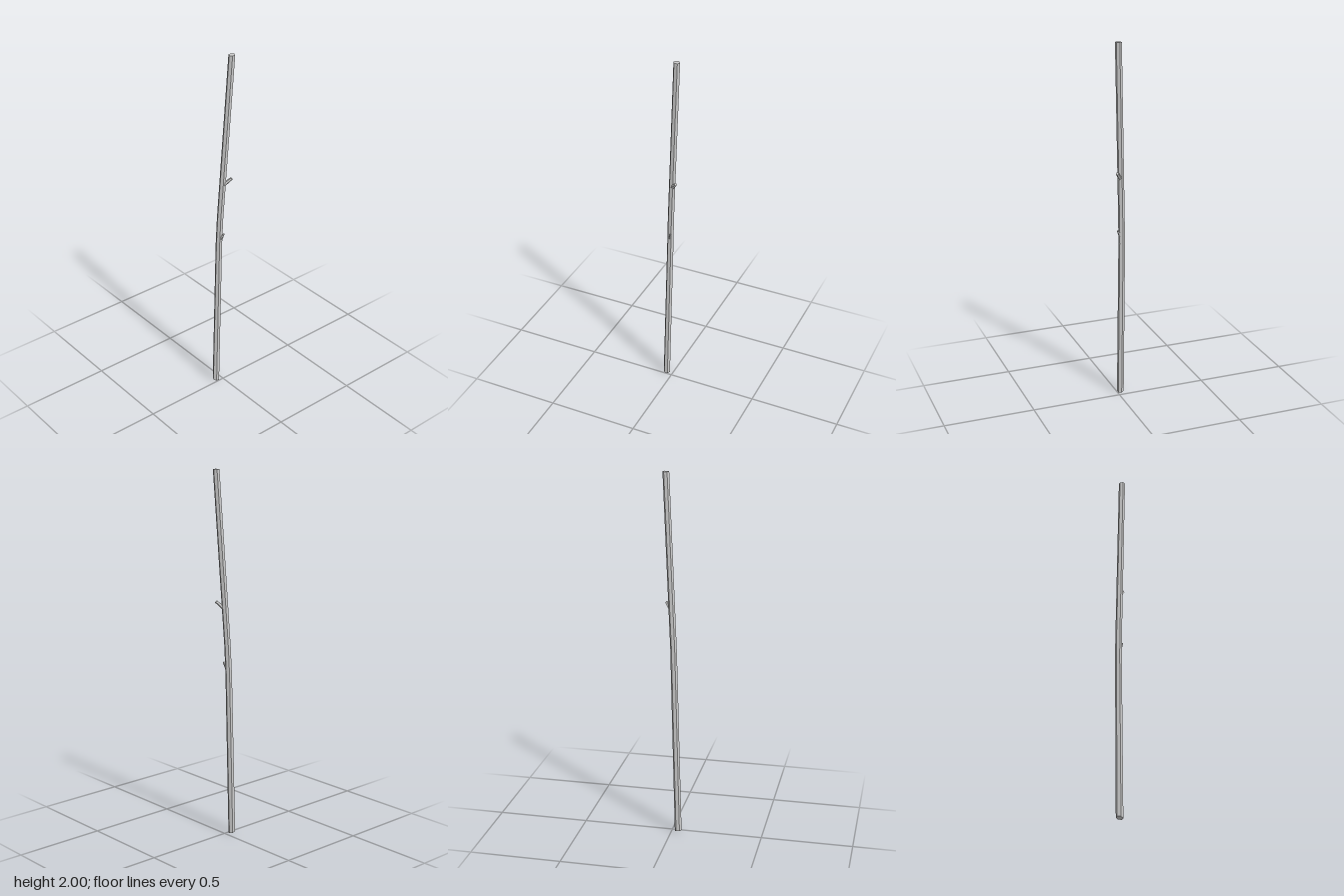
import * as THREE from 'three';

const V = (x, y, z) => new THREE.Vector3(x, y, z);
const material = new THREE.MeshStandardMaterial({ color: 0xcccccc, flatShading: true });

// Lofts a closed tube with flat caps through rings of { c: centre, r: radius, slant }
function loft(rings, sides, phase) {
  const pos = [], index = [];
  for (const { c, r, slant = 0 } of rings) {
    for (let i = 0; i < sides; i++) {
      const a = phase + (i / sides) * Math.PI * 2;
      pos.push(c.x + r * Math.cos(a), c.y + slant * (1 - Math.cos(a + Math.PI / 4)) / 2, c.z + r * Math.sin(a));
    }
  }
  const last = (rings.length - 1) * sides;
  for (let k = 0; k < last; k += sides) {
    for (let i = 0; i < sides; i++) {
      const j = (i + 1) % sides;
      index.push(k + i, k + sides + i, k + j, k + j, k + sides + i, k + sides + j);
    }
  }
  for (let i = 1; i < sides - 1; i++) {
    index.push(0, i, i + 1, last, last + i + 1, last + i);
  }
  const g = new THREE.BufferGeometry();
  g.setAttribute('position', new THREE.Float32BufferAttribute(pos, 3));
  g.setIndex(index);
  const flat = g.toNonIndexed();
  flat.computeVertexNormals();
  return flat;
}

// Tapered stub from one point to another
function twig(name, from, to, r0, r1) {
  const dir = to.clone().sub(from);
  const mesh = new THREE.Mesh(new THREE.CylinderGeometry(r1, r0, dir.length(), 5), material);
  mesh.position.copy(from).add(to).multiplyScalar(0.5);
  mesh.quaternion.setFromUnitVectors(V(0, 1, 0), dir.normalize());
  mesh.name = name;
  return mesh;
}

export function createModel() {
  const group = new THREE.Group();
  group.name = 'stick';

  // Main six-sided shaft, gently bent halfway up
  const shaft = new THREE.Mesh(loft([
    { c: V(-0.019, 0, 0.037), r: 0.019, slant: 0.01 },
    { c: V(-0.018, 0.9, 0.014), r: 0.018 },
    { c: V(-0.014, 1.06, 0.009), r: 0.0175 },
    { c: V(0.021, 2, -0.039), r: 0.0175 },
  ], 6, THREE.MathUtils.degToRad(27)), material);
  shaft.name = 'shaft';
  group.add(shaft);

  // Broken side twigs
  group.add(twig('upperTwig', V(-0.006, 1.264, 0), V(0.026, 1.308, -0.037), 0.012, 0.008));
  group.add(twig('lowerTwig', V(-0.016, 0.925, 0.013), V(0.009, 0.977, 0.001), 0.011, 0.005));
  return group;
}
